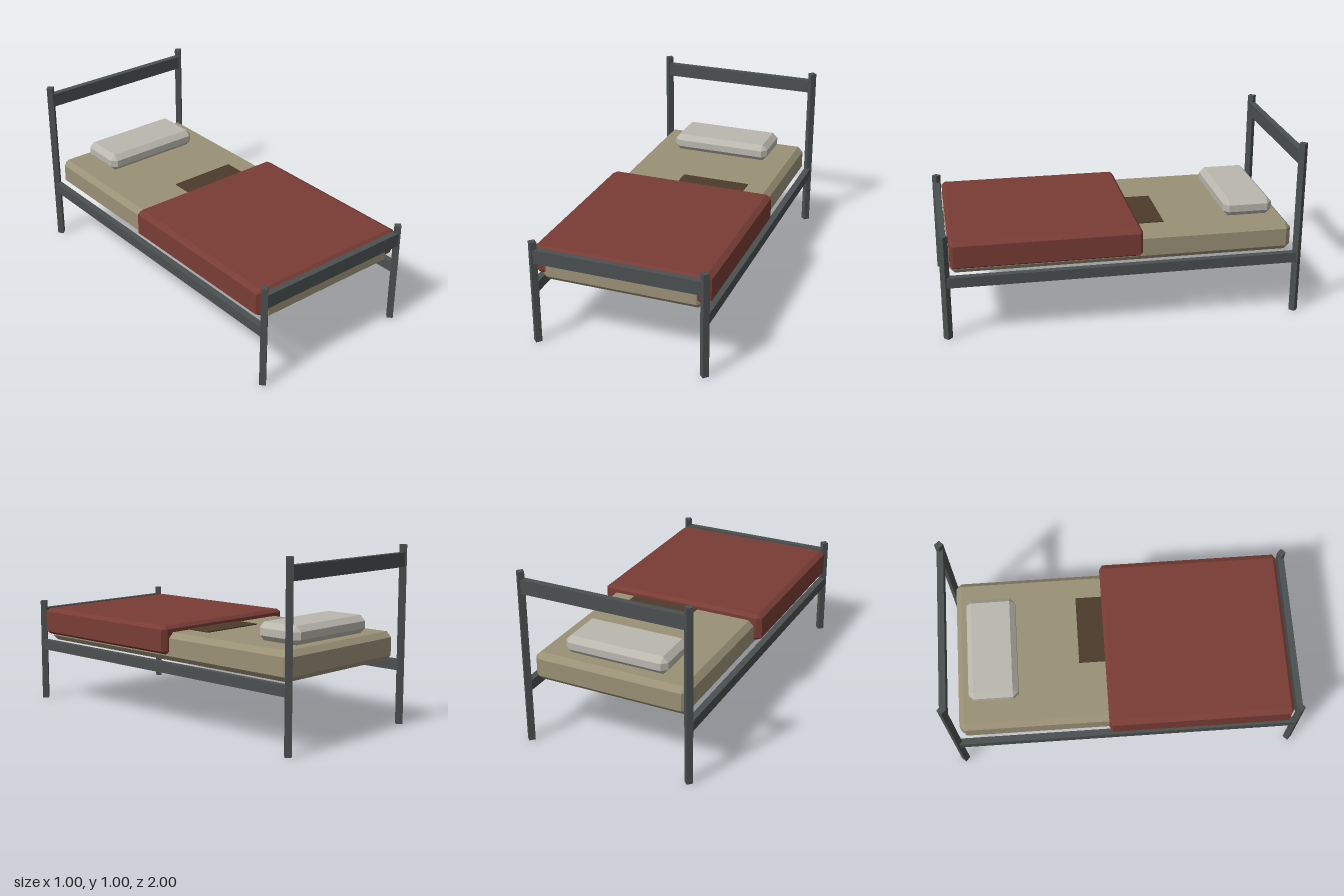
import * as THREE from 'three';
import { ConvexGeometry } from 'three/addons/geometries/ConvexGeometry.js';

const mat = (name, color) => {
  const m = new THREE.MeshStandardMaterial({ color });
  m.name = name;
  return m;
};

// Box given by its limits, with every edge cut by a flat bevel (bx, by, bz)
function bevelBox([x0, x1], [y0, y1], [z0, z1], [bx, by, bz]) {
  const pts = [];
  const hx = (x1 - x0) / 2, hy = (y1 - y0) / 2, hz = (z1 - z0) / 2;
  for (const sx of [-1, 1]) for (const sy of [-1, 1]) for (const sz of [-1, 1]) {
    pts.push(
      new THREE.Vector3(sx * hx, sy * (hy - by), sz * (hz - bz)),
      new THREE.Vector3(sx * (hx - bx), sy * hy, sz * (hz - bz)),
      new THREE.Vector3(sx * (hx - bx), sy * (hy - by), sz * hz)
    );
  }
  const g = new ConvexGeometry(pts);
  g.translate((x0 + x1) / 2, (y0 + y1) / 2, (z0 + z1) / 2);
  return g;
}

export function createModel() {
  const group = new THREE.Group();
  group.name = 'bed';

  const metal = mat('dark grey metal', 0x4a4f50);
  const ticking = mat('khaki mattress', 0x9a9076);
  const wool = mat('dull red wool', 0x783c35);
  const linen = mat('pale grey linen', 0xbab7ae);
  const stain = mat('dark brown', 0x4b3b2c);

  const add = (name, geometry, material, x = 0, y = 0, z = 0) => {
    const m = new THREE.Mesh(geometry, material);
    m.name = name;
    m.position.set(x, y, z);
    group.add(m);
    return m;
  };

  // Four-sided posts, turned with an edge to the front
  const r = 0.025, px = 0.475, pz = 0.975;
  const post = (name, h, x, z) => {
    const g = new THREE.CylinderGeometry(r, r, h, 4).toNonIndexed();
    g.computeVertexNormals();
    add(name, g, metal, x, h / 2, z);
  };
  for (const [side, s] of [['left', 1], ['right', -1]]) {
    post(side + 'HeadPost', 0.997, s * px, -pz);
    post(side + 'FootPost', 0.598, s * px, pz);
    add(side + 'SideRail', new THREE.BoxGeometry(0.037, 0.058, 2 * pz), metal, s * px, 0.332, 0);
  }

  // End rails
  const endRail = new THREE.BoxGeometry(2 * px, 0.078, 0.036);
  add('headRail', endRail, metal, 0, 0.916, -pz);
  add('footRail', endRail, metal, 0, 0.517, pz);

  // Bedding
  add('mattress', bevelBox([-0.45, 0.45], [0.36, 0.52], [-0.948, 0.948], [0.03, 0.03, 0.03]), ticking);
  add('pillow', bevelBox([-0.3, 0.3], [0.52, 0.62], [-0.88, -0.6], [0.03, 0.03, 0.03]), linen);
  add('blanket', bevelBox([-0.493, 0.493], [0.4, 0.557], [-0.1, 0.946], [0.03, 0.018, 0.018]), wool);

  // Dark patch showing beside the blanket edge
  add('patch', new THREE.BoxGeometry(0.4, 0.006, 0.2), stain, 0.1, 0.522, -0.15);

  return group;
}
